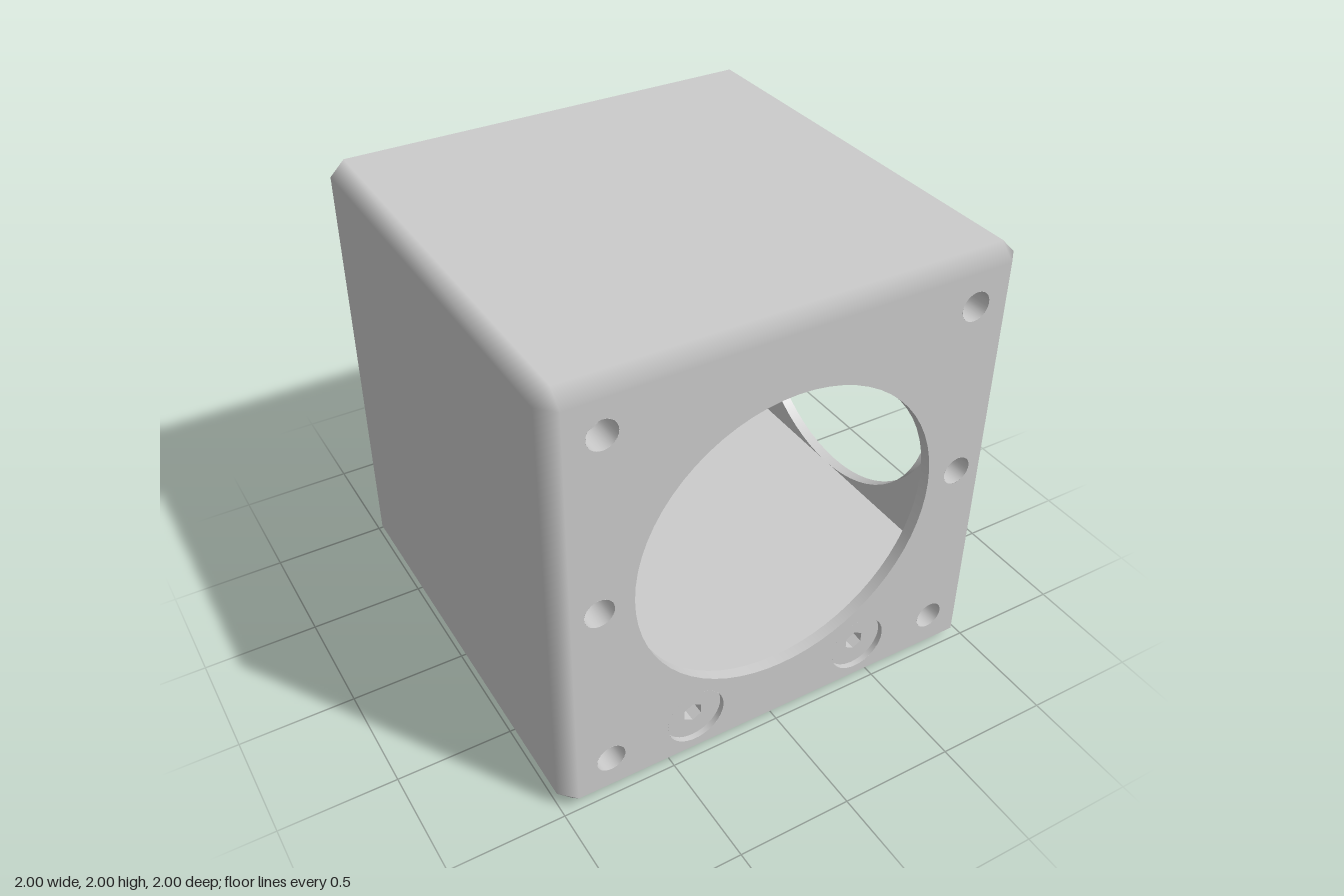
import * as THREE from 'three';

const C = 0.935; // flat half-width of a face; the rest up to 1 is the chamfer
const mat = new THREE.MeshStandardMaterial({ color: 0xcccccc, side: THREE.DoubleSide });

function add(parent, name, geometry, x = 0, y = 0, z = 0) {
  const mesh = new THREE.Mesh(geometry, mat);
  mesh.name = name;
  mesh.position.set(x, y, z);
  parent.add(mesh);
  return mesh;
}

function circle(x, y, r) {
  return new THREE.Path().absarc(x, y, r, 0, Math.PI * 2, true);
}

// Open tube running inward (-z) from the given point
function bore(parent, name, x, y, z, r, depth, sides) {
  const g = new THREE.CylinderGeometry(r, r, depth, sides, 1, true).rotateX(Math.PI / 2);
  add(parent, name, g, x, y, z - depth / 2);
}

function blindHole(parent, name, x, y, r, depth) {
  bore(parent, name, x, y, 1, r, depth, 24);
  add(parent, name + 'Floor', new THREE.CircleGeometry(r, 24), x, y, 1 - depth);
}

// Sunken screw head with a hexagonal socket
function screw(parent, x, y) {
  const r = 0.13, sink = 0.025, hex = 0.045, deep = 0.06;
  bore(parent, 'counterbore', x, y, 1, r, sink, 40);
  const head = new THREE.Shape().absarc(0, 0, r, 0, Math.PI * 2);
  const socket = [];
  for (let i = 0; i < 6; i++) {
    const a = Math.PI / 6 + i * Math.PI / 3;
    socket.push(new THREE.Vector2(hex * Math.cos(a), hex * Math.sin(a)));
  }
  head.holes.push(new THREE.Path(socket));
  add(parent, 'screwHead', new THREE.ShapeGeometry(head, 40), x, y, 1 - sink);
  const wall = new THREE.CylinderGeometry(hex, hex, deep, 6, 1, true).toNonIndexed();
  wall.computeVertexNormals();
  wall.rotateX(Math.PI / 2);
  add(parent, 'socketWall', wall, x, y, 1 - sink - deep / 2);
  add(parent, 'socketFloor', new THREE.CircleGeometry(hex, 6, Math.PI / 6), x, y, 1 - sink - deep);
}

// One cube face, drawn facing +z and then turned into place
function face(parent, name, rx, ry, { port, mounts, screws, centreHole } = {}) {
  const g = new THREE.Group();
  g.name = name;
  g.rotation.set(rx, ry, 0);
  parent.add(g);
  const s = new THREE.Shape();
  s.moveTo(-C, -C).lineTo(C, -C).lineTo(C, C).lineTo(-C, C).closePath();
  if (port) {
    s.holes.push(circle(0, 0, 0.673));
    bore(g, 'portRim', 0, 0, 1, 0.673, 0.05, 64);
  }
  if (mounts) {
    for (const side of [-1, 1]) {
      for (const [x, y] of [[0.787, 0.79], [0.818, 0.005], [0.787, -0.785]]) {
        s.holes.push(circle(side * x, y, 0.063));
        blindHole(g, 'mountHole', side * x, y, 0.063, 0.12);
      }
    }
  }
  if (screws) {
    for (const x of [-0.4, 0.4]) {
      s.holes.push(circle(x, -0.763, 0.13));
      screw(g, x, -0.763);
    }
  }
  if (centreHole) {
    s.holes.push(circle(0, 0, 0.05));
    blindHole(g, 'centreHole', 0, 0, 0.05, 0.25);
  }
  add(g, name + 'Plate', new THREE.ShapeGeometry(s, 32), 0, 0, 0);
  g.children[g.children.length - 1].position.z = 1;
}

// Triangles from points, wound to face outward; normals given or flat
function facets(list) {
  const pos = [], nor = [];
  for (const { p, n } of list) {
    const flat = new THREE.Triangle(...p).getNormal(new THREE.Vector3());
    const out = flat.dot(p[0]) > 0;
    if (!out) flat.negate();
    for (const i of out ? [0, 1, 2] : [0, 2, 1]) {
      pos.push(...p[i].toArray());
      nor.push(...(n ? n[i] : flat).toArray());
    }
  }
  const g = new THREE.BufferGeometry();
  g.setAttribute('position', new THREE.Float32BufferAttribute(pos, 3));
  g.setAttribute('normal', new THREE.Float32BufferAttribute(nor, 3));
  return g;
}

// Chamfers on all 12 edges and 8 corners: soft on the body, crisp on the base
function chamfers(parent) {
  const body = [], base = [];
  const signs = [-1, 1];
  const unit = (i, s) => new THREE.Vector3().setComponent(i, s);
  for (let k = 0; k < 3; k++) {
    const i = (k + 1) % 3, j = (k + 2) % 3;
    for (const si of signs) for (const sj of signs) {
      const pt = (a, b, c) => new THREE.Vector3()
        .setComponent(i, si * a).setComponent(j, sj * b).setComponent(k, c);
      const a0 = pt(1, C, -C), a1 = pt(1, C, C), b0 = pt(C, 1, -C), b1 = pt(C, 1, C);
      const ni = unit(i, si), nj = unit(j, sj);
      const low = (i === 1 && si < 0) || (j === 1 && sj < 0);
      const list = low ? base : body;
      list.push({ p: [a0, a1, b0], n: low ? null : [ni, ni, nj] });
      list.push({ p: [a1, b1, b0], n: low ? null : [ni, nj, nj] });
    }
  }
  for (const x of signs) for (const y of signs) for (const z of signs) {
    const p = [[1, C, C], [C, 1, C], [C, C, 1]].map(([a, b, c]) => new THREE.Vector3(x * a, y * b, z * c));
    const n = y < 0 ? null : [unit(0, x), unit(1, y), unit(2, z)];
    (y < 0 ? base : body).push({ p, n });
  }
  add(parent, 'bodyChamfer', facets(body));
  add(parent, 'baseChamfer', facets(base));
}

export function createModel() {
  const model = new THREE.Group();
  model.name = 'mirrorCube';
  const cube = new THREE.Group();
  cube.name = 'housing';
  cube.position.y = 1;
  model.add(cube);

  const q = Math.PI / 2;
  face(cube, 'front', 0, 0, { port: true, mounts: true, screws: true });
  face(cube, 'leftSide', 0, q, { port: true, mounts: true });
  face(cube, 'back', 0, Math.PI, { screws: true });
  face(cube, 'rightSide', 0, -q);
  face(cube, 'top', -q, 0);
  face(cube, 'bottom', q, 0, { centreHole: true });
  chamfers(cube);

  // Inner floor and ceiling
  const deck = new THREE.PlaneGeometry(1.88, 1.88);
  add(cube, 'innerFloor', deck, 0, -0.66, 0).rotation.x = -q;
  add(cube, 'innerCeiling', deck, 0, 0.66, 0).rotation.x = q;

  // Diagonal mirror between the two ports
  const mirror = new THREE.BoxGeometry(1.84, 1.31, 0.03);
  add(cube, 'mirror', mirror, -0.02, 0, -0.02).rotation.y = Math.PI / 4;

  return model;
}
